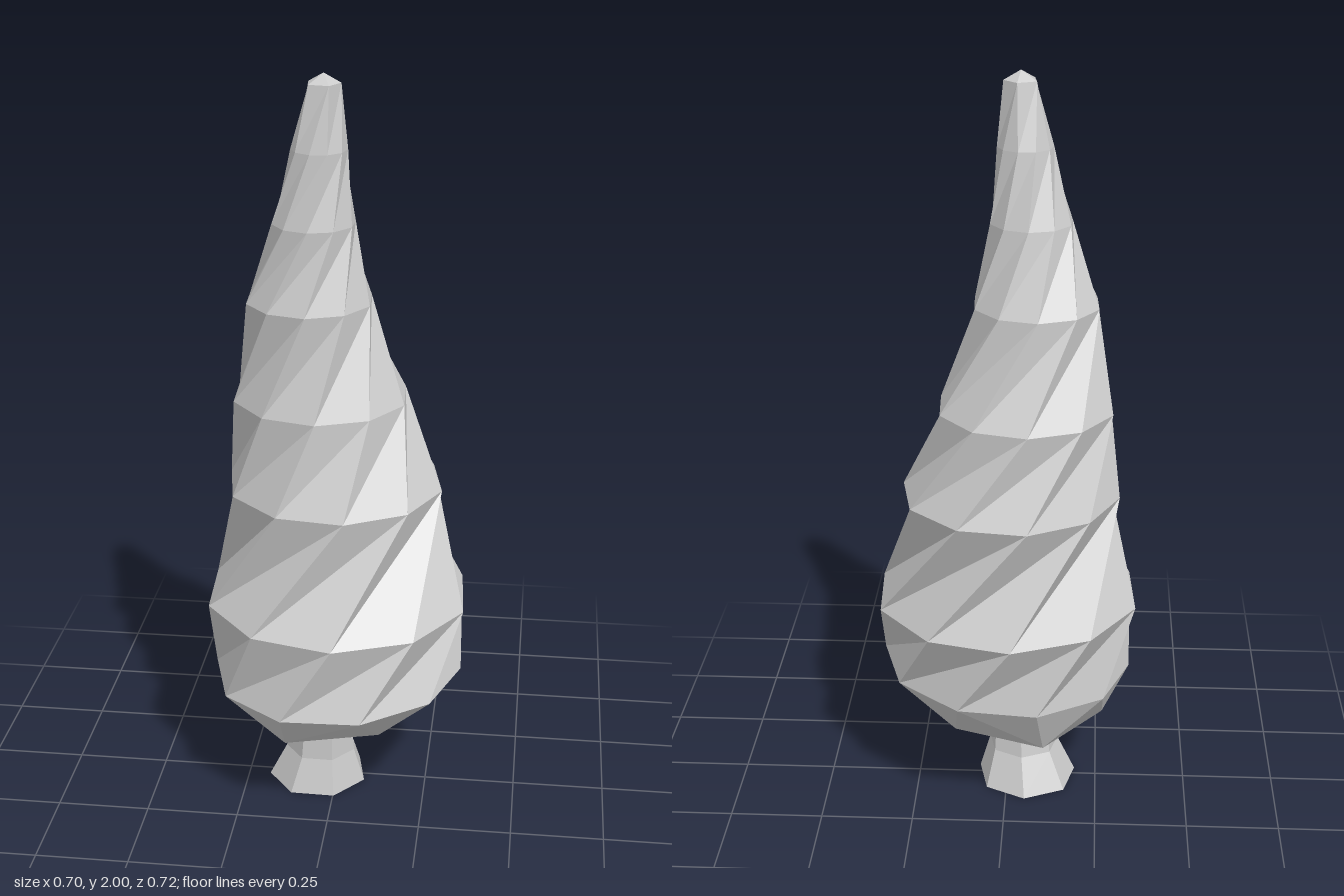
import * as THREE from 'three';

const material = new THREE.MeshStandardMaterial({ color: 0xcccccc, flatShading: true, side: THREE.DoubleSide });

// Ring of points: y height, (x, z) centre, radius r, turn in degrees.
// merge joins neighbouring points in pairs; tilt raises the +x side.
function ring(sides, { y, x = 0, z = 0, r, turn = 0, merge = false, tilt = 0 }) {
  return Array.from({ length: sides }, (_, i) => {
    const k = merge ? Math.floor((i + 1) / 2) * 2 - 0.5 : i;
    const a = THREE.MathUtils.degToRad(turn) + (k / sides) * Math.PI * 2;
    return new THREE.Vector3(x + r * Math.cos(a), y + tilt * Math.cos(a), z + r * Math.sin(a));
  });
}

// Skin successive rings with slanted triangles whose long diagonals form the
// valleys of the twist, leaving out collapsed triangles
function loft(name, sides, sections) {
  const rings = sections.map((s) => ring(sides, s));
  const points = [];
  const tri = (a, b, c) => {
    const area = new THREE.Triangle(a, b, c).getArea();
    if (area > 1e-7) points.push(a, b, c);
  };
  for (let s = 0; s < rings.length - 1; s++) {
    const low = rings[s], up = rings[s + 1];
    for (let i = 0; i < sides; i++) {
      const prev = (i + sides - 1) % sides;
      tri(low[i], low[prev], up[prev]);
      tri(low[i], up[prev], up[i]);
    }
  }
  const geometry = new THREE.BufferGeometry().setFromPoints(points);
  geometry.computeVertexNormals();
  const mesh = new THREE.Mesh(geometry, material);
  mesh.name = name;
  return mesh;
}

export function createModel() {
  const group = new THREE.Group();
  group.name = 'twistedTree';

  // Foliage: ten-sided rings turning as they rise, leaning off axis to the tip
  group.add(loft('foliage', 10, [
    { y: 0.175, x: -0.045, z: 0.01, r: 0.09, turn: -52, merge: true },
    { y: 0.212, x: -0.045, r: 0.22, turn: -16, merge: true },
    { y: 0.365, x: 0.003, z: 0.025, r: 0.341, turn: 2, tilt: 0.015 },
    { y: 0.58, r: 0.36, turn: -21.5 },
    { y: 0.895, x: -0.01, z: -0.03, r: 0.292, turn: -64.5 },
    { y: 1.14, x: -0.05, z: -0.037, r: 0.235, turn: -93 },
    { y: 1.41, x: -0.075, z: -0.01, r: 0.167, turn: -129 },
    { y: 1.62, x: -0.06, z: 0.012, r: 0.108, turn: -160 },
    { y: 1.81, x: -0.044, z: 0.022, r: 0.072, turn: -185 },
    { y: 1.975, x: -0.033, z: 0.027, r: 0.045, turn: -205, merge: true },
    { y: 2.0, x: -0.032, z: 0.026, r: 0 },
  ]));

  // Trunk: flared foot, open below, tucked into the foliage
  group.add(loft('trunk', 7, [
    { y: 0, x: -0.055, r: 0.138, turn: 14 },
    { y: 0.1, x: -0.045, z: 0.012, r: 0.098, turn: 14 },
    { y: 0.2, x: -0.042, z: 0.02, r: 0.088, turn: 14 },
  ]));

  return group;
}
